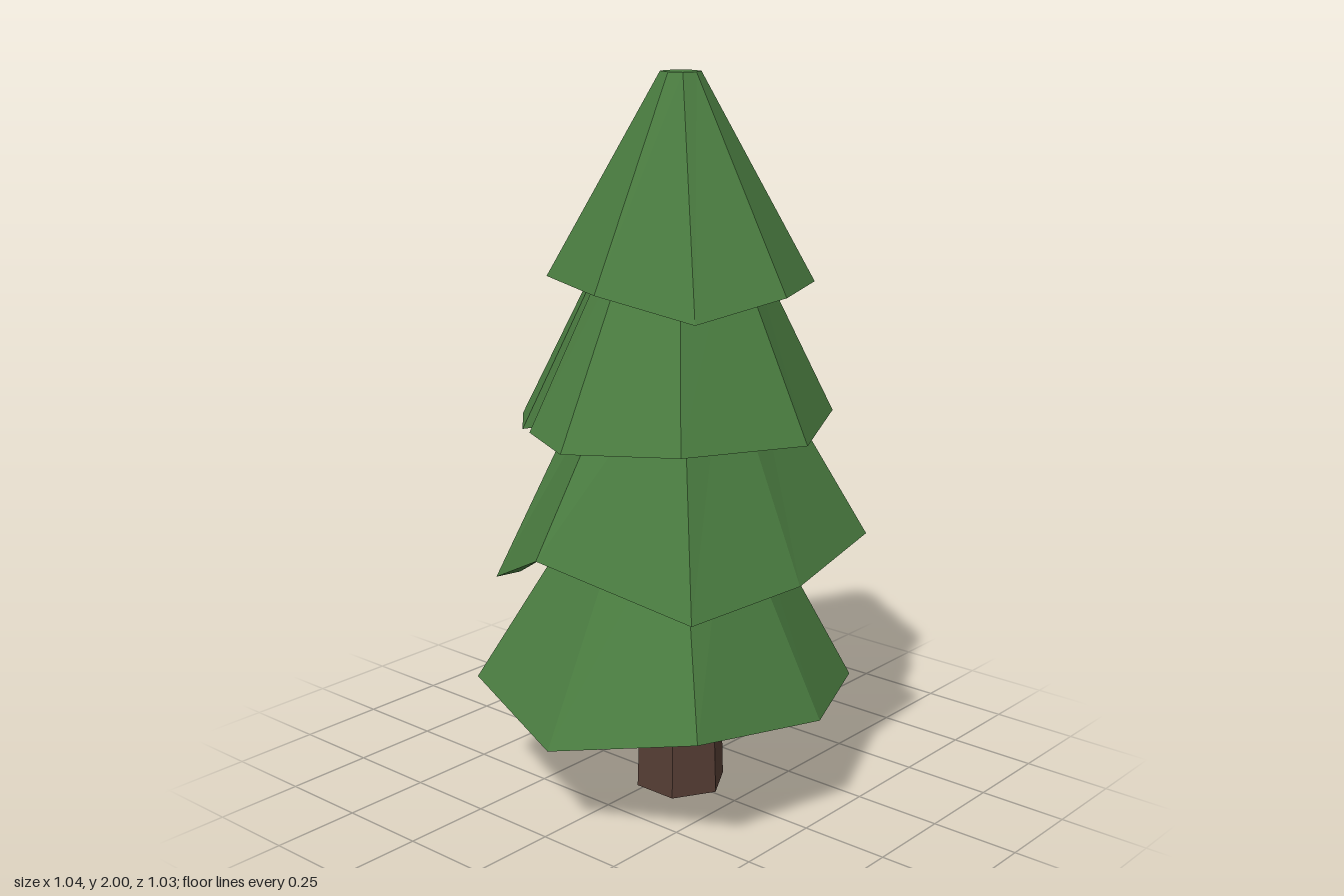
import * as THREE from 'three';

const green = new THREE.MeshStandardMaterial({ color: 0x4a7c40, flatShading: true });
const brown = new THREE.MeshStandardMaterial({ color: 0x553d34, flatShading: true });

// Hollow faceted skirt. rim: [x, y, z] corners running back, right, front, left.
// The outer wall narrows by topScale towards (cx, cz) at height topY.
function makeTier(name, rim, cx, cz, topY, topScale) {
  const ring = (scale, height) => rim.map(([x, y, z]) =>
    [cx + (x - cx) * scale, height(y), cz + (z - cz) * scale]);
  const rings = [
    ring(topScale, () => topY),             // outer top
    ring(1, y => y),                        // rim
    ring(0.87, y => y + 0.012),             // inner rim
    ring(topScale * 0.8, () => topY - 0.1), // inner top
  ];
  const pos = [];
  const tri = (a, b, c) => pos.push(...a, ...b, ...c);
  rim.forEach((_, i) => {
    const n = (i + 1) % rim.length;
    for (let r = 0; r < 3; r++) {
      const up = rings[r], low = rings[r + 1];
      tri(low[n], low[i], up[i]);
      tri(low[n], up[i], up[n]);
    }
    tri([cx, topY, cz], rings[0][n], rings[0][i]);
    tri([cx, topY - 0.1, cz], rings[3][i], rings[3][n]);
  });
  const geo = new THREE.BufferGeometry();
  geo.setAttribute('position', new THREE.Float32BufferAttribute(pos, 3));
  geo.computeVertexNormals();
  const mesh = new THREE.Mesh(geo, green);
  mesh.name = name;
  return mesh;
}

export function createModel() {
  const group = new THREE.Group();
  group.name = 'pineTree';

  // Six-sided trunk, slightly tapered
  const trunk = new THREE.Mesh(new THREE.CylinderGeometry(0.105, 0.13, 0.8, 6), brown);
  trunk.position.set(0.008, 0.4, 0.045);
  trunk.name = 'trunk';
  group.add(trunk);

  // Bottom tier, with a notch at the back
  group.add(makeTier('bottomBranches', [
    [-0.01, 0.31, -0.52], [0.4, 0.3, -0.3], [0.5, 0.36, 0.02], [0.37, 0.3, 0.37],
    [0.03, 0.31, 0.515], [-0.39, 0.36, 0.44], [-0.525, 0.27, 0.04], [-0.39, 0.33, -0.365],
  ].flatMap((p, i) => i !== 1 ? [p] : [
    [0.16, 0.31, -0.4], [0.15, 0.34, -0.36], [0.2, 0.35, -0.34], [0.26, 0.3, -0.355], p,
  ]), 0, 0.03, 0.9, 0.36));

  // Lower middle tier
  group.add(makeTier('lowerMiddleBranches', [
    [0.01, 0.7, -0.405], [0.375, 0.74, -0.285], [0.52, 0.66, 0.03], [0.36, 0.735, 0.42],
    [-0.01, 0.69, 0.47], [-0.35, 0.655, 0.385], [-0.515, 0.785, 0], [-0.38, 0.64, -0.29],
  ], 0, 0.04, 1.3, 0.37));

  // Upper middle tier, with a slit at the back left
  group.add(makeTier('upperMiddleBranches', [
    [-0.01, 1.07, -0.395], [0.31, 1.1, -0.25], [0.43, 1.09, 0.04], [0.305, 1.085, 0.335],
    [-0.01, 1.075, 0.485], [-0.34, 1.085, 0.34], [-0.47, 1.07, 0.05],
    [-0.395, 1.08, -0.135], [-0.32, 1.09, -0.11], [-0.38, 1.08, -0.175], [-0.29, 1.09, -0.265],
  ], -0.01, 0.05, 1.6, 0.4));

  // Top tier with a small flat tip
  group.add(makeTier('topBranches', [
    [-0.01, 1.5, -0.29], [0.23, 1.445, -0.19], [0.33, 1.5, 0.06], [0.23, 1.45, 0.32],
    [-0.01, 1.45, 0.41], [-0.24, 1.4, 0.3], [-0.345, 1.46, 0.055], [-0.22, 1.46, -0.235],
  ], -0.01, 0.055, 2, 0.15));

  return group;
}
